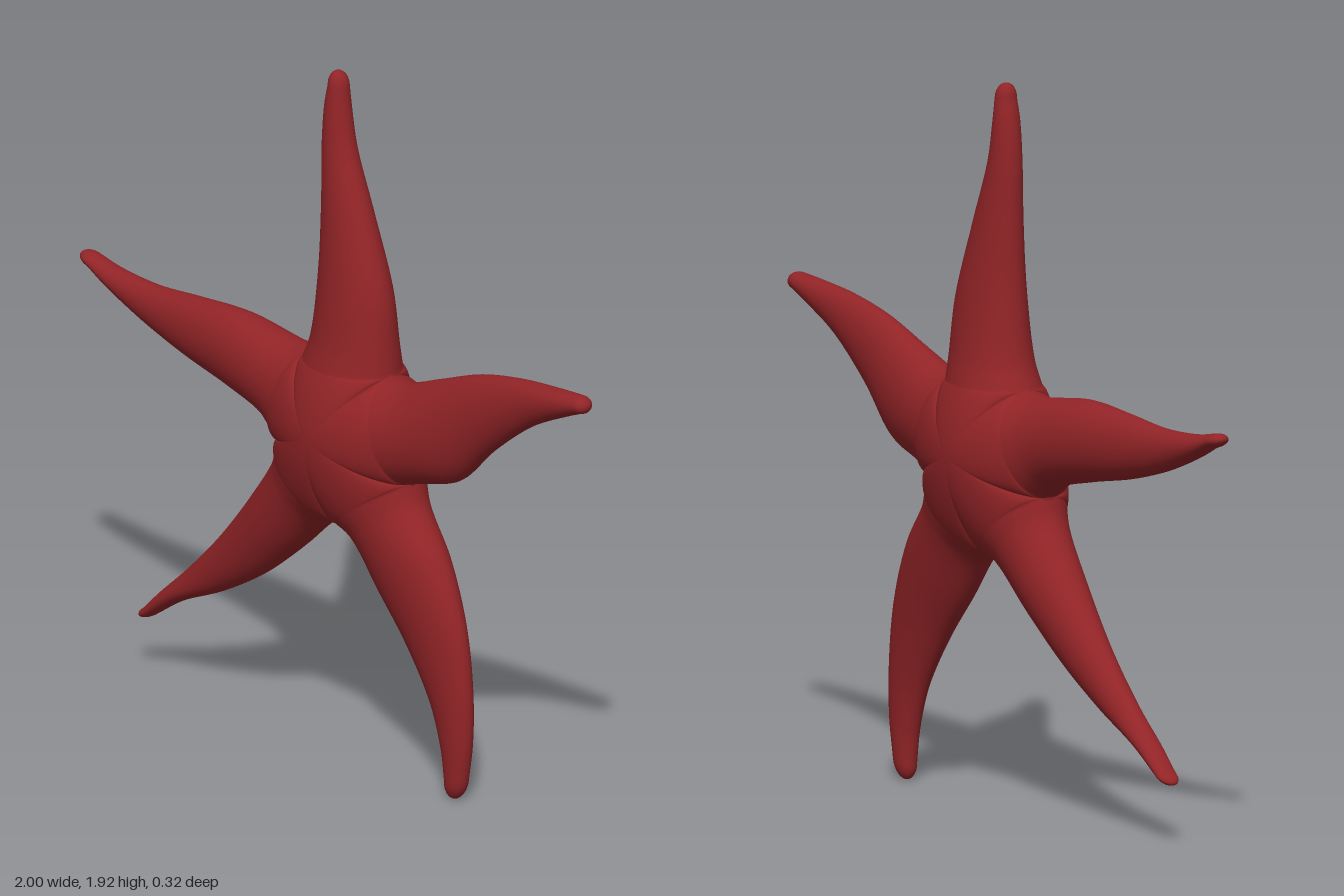
import * as THREE from 'three';
import { mergeVertices } from 'three/addons/utils/BufferGeometryUtils.js';

const CENTRE = [0.06, 0.93];
const CORE = 0.16; // half thickness at the centre
// Half thickness from the arm's root to its tip
const THICK = [0.115, 0.1, 0.08, 0.058, 0.043, 0.036, 0.03];
// Notches between neighbouring arms
const N = {
  upRight: [0.22, 1.115], right: [0.307, 0.84], bottom: [0.05, 0.66],
  left: [-0.185, 0.84], upLeft: [-0.085, 1.11],
};

// Each arm: clockwise edge a, counter-clockwise edge b, both from notch outwards, and the tip
const ARMS = [
  { // upper arm
    a: [N.upRight, [0.215, 1.18], [0.2, 1.33], [0.13, 1.54], [0.068, 1.71], [0.047, 1.82], [0.04, 1.88]],
    b: [N.upLeft, [-0.06, 1.18], [-0.04, 1.36], [-0.035, 1.55], [-0.037, 1.7], [-0.028, 1.82], [-0.016, 1.88]],
    tip: [0.01, 1.92],
  },
  { // right-hand arm in front view
    a: [N.right, [0.37, 0.86], [0.49, 0.9], [0.62, 1.02], [0.78, 1.14], [0.92, 1.21], [0.975, 1.234]],
    b: [N.upRight, [0.29, 1.12], [0.41, 1.165], [0.57, 1.225], [0.73, 1.26], [0.89, 1.277], [0.965, 1.283]],
    tip: [1.0, 1.262],
  },
  { // lower arm that bends down
    a: [N.bottom, [0.105, 0.635], [0.195, 0.515], [0.3, 0.385], [0.39, 0.245], [0.43, 0.13], [0.442, 0.05]],
    b: [N.right, [0.33, 0.78], [0.425, 0.66], [0.5, 0.49], [0.53, 0.315], [0.53, 0.17], [0.515, 0.06]],
    tip: [0.473, 0],
  },
  { // long lower arm
    a: [N.left, [-0.205, 0.78], [-0.31, 0.635], [-0.445, 0.475], [-0.58, 0.34], [-0.685, 0.245], [-0.745, 0.185]],
    b: [N.bottom, [-0.015, 0.635], [-0.14, 0.525], [-0.285, 0.41], [-0.445, 0.315], [-0.605, 0.24], [-0.72, 0.165]],
    tip: [-0.765, 0.155],
  },
  { // left-hand arm in front view
    a: [N.upLeft, [-0.15, 1.105], [-0.365, 1.127], [-0.55, 1.115], [-0.715, 1.1], [-0.875, 1.105], [-0.965, 1.12]],
    b: [N.left, [-0.24, 0.875], [-0.39, 0.91], [-0.58, 0.945], [-0.74, 0.988], [-0.875, 1.04], [-0.955, 1.08]],
    tip: [-1.0, 1.105],
  },
];

// Cross-sections of one arm: edge points a and b, ridge height, edge height, roundness power
function armSections({ a, b, tip }) {
  const sections = [];
  const v2 = (p) => new THREE.Vector2(p[0], p[1]);
  const centre = v2(CENTRE);

  // Sector of the central dome; its borders are shared with the neighbours
  for (let i = 0; i < 16; i++) {
    const t = Math.sin((i / 16) * Math.PI / 2);
    sections.push({
      a: centre.clone().lerp(v2(a[0]), t),
      b: centre.clone().lerp(v2(b[0]), t),
      ridge: CORE - (CORE - THICK[0]) * t * t,
      edge: CORE * Math.pow(1 - t * t, 0.6),
      power: 2 - t,
    });
  }

  // Free arm, with thickness carried in z
  const curve = (edge) => new THREE.CatmullRomCurve3(
    edge.map((p, i) => new THREE.Vector3(p[0], p[1], THICK[i])));
  const ca = curve(a), cb = curve(b);
  for (let i = 0; i <= 42; i++) {
    const pa = ca.getPoint(i / 42), pb = cb.getPoint(i / 42);
    sections.push({
      a: new THREE.Vector2(pa.x, pa.y), b: new THREE.Vector2(pb.x, pb.y),
      ridge: pa.z, edge: 0, power: 1,
    });
  }

  // Rounded tip
  const last = sections[sections.length - 1];
  const mid = last.a.clone().lerp(last.b, 0.5);
  const half = last.b.clone().sub(last.a).multiplyScalar(0.5);
  for (let i = 1; i <= 6; i++) {
    const angle = (i / 6) * Math.PI / 2, k = Math.cos(angle);
    const c = mid.clone().lerp(v2(tip), Math.sin(angle));
    sections.push({
      a: c.clone().addScaledVector(half, -k), b: c.clone().addScaledVector(half, k),
      ridge: last.ridge * k, edge: 0, power: 1,
    });
  }
  return sections;
}

// Join all arms, front and back, into one smooth skin
function bodyGeometry() {
  const positions = [], indices = [], across = 20;
  for (const arm of ARMS) {
    const sections = armSections(arm);
    for (const side of [1, -1]) {
      const base = positions.length / 3;
      sections.forEach((s, i) => {
        for (let j = 0; j <= across; j++) {
          const angle = (j / across - 0.5) * Math.PI;
          const p = s.a.clone().lerp(s.b, (Math.sin(angle) + 1) / 2);
          const round = Math.pow(Math.max(0, Math.cos(angle)), s.power);
          positions.push(p.x, p.y, side * (s.edge + (s.ridge - s.edge) * round));
          if (i === 0 || j === 0) continue;
          const d = base + i * (across + 1) + j, c = d - 1;
          const q = d - across - 1, o = q - 1;
          if (side > 0) indices.push(o, c, d, o, d, q);
          else indices.push(o, d, c, o, q, d);
        }
      });
    }
  }
  const geometry = new THREE.BufferGeometry();
  geometry.setAttribute('position', new THREE.Float32BufferAttribute(positions, 3));
  geometry.setIndex(indices);
  const merged = mergeVertices(geometry, 1e-4);
  merged.computeVertexNormals();
  return merged;
}

export function createModel() {
  const group = new THREE.Group();
  group.name = 'starfish';
  const red = new THREE.MeshStandardMaterial({ color: 0x922427 });
  red.name = 'deep red';
  const body = new THREE.Mesh(bodyGeometry(), red);
  body.name = 'starfishBody';
  group.add(body);
  return group;
}
